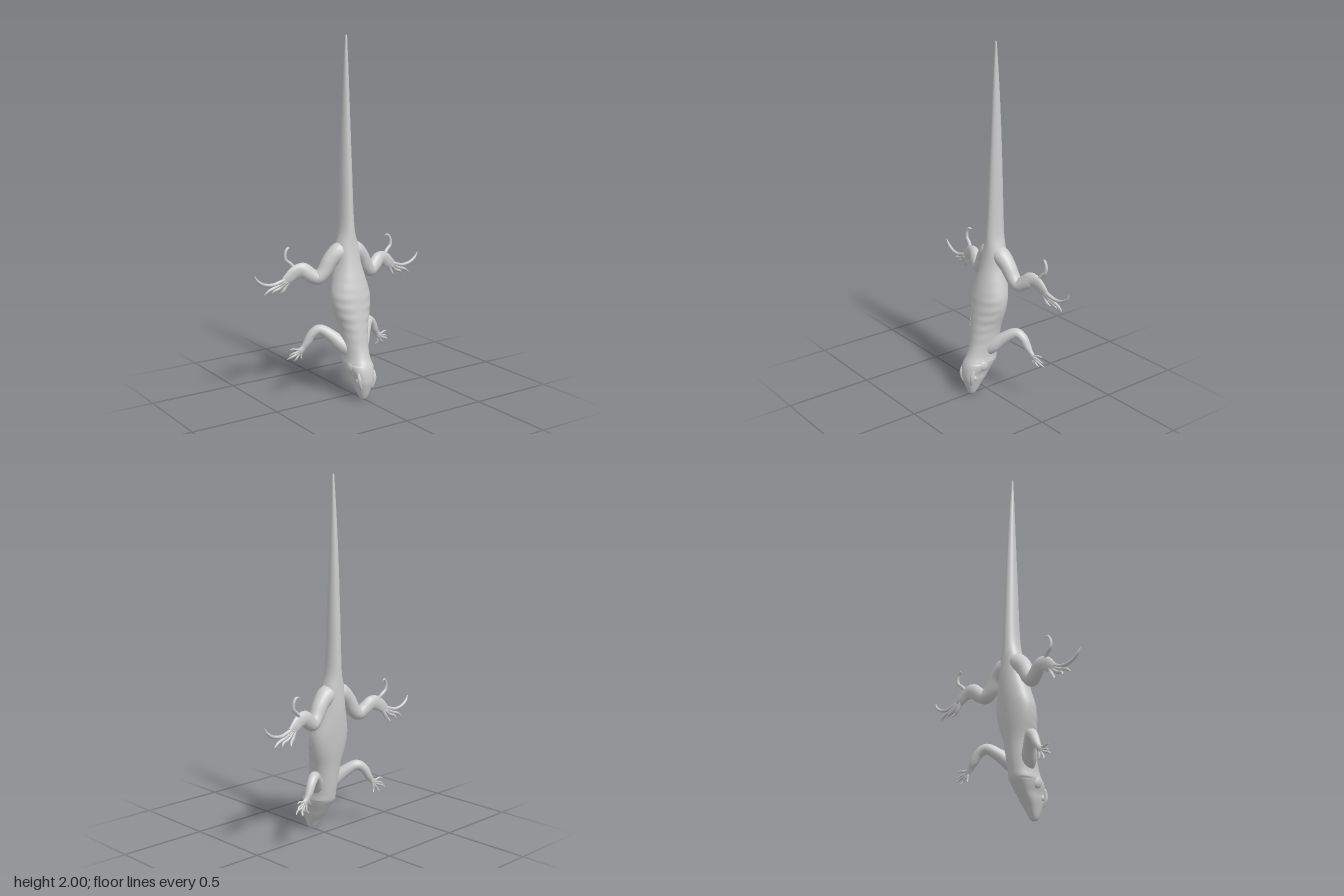
import * as THREE from 'three';

const material = new THREE.MeshStandardMaterial({ color: 0xcccccc });

// Smooth closed skin over rings; at(u, angle) returns a point, u runs 0..1
function skin(name, rings, sides, at) {
  const pos = [], index = [];
  for (let i = 0; i <= rings; i++) {
    for (let j = 0; j < sides; j++) {
      pos.push(...at(i / rings, (j / sides) * Math.PI * 2).toArray());
      if (i === rings) continue;
      const k = (j + 1) % sides, a = i * sides, b = a + sides;
      index.push(a + j, a + k, b + k, a + j, b + k, b + j);
    }
  }
  const geo = new THREE.BufferGeometry();
  geo.setAttribute('position', new THREE.Float32BufferAttribute(pos, 3));
  geo.setIndex(index);
  geo.computeVertexNormals();
  const mesh = new THREE.Mesh(geo, material);
  mesh.name = name;
  return mesh;
}

// One spline per column of a table, all sharing the same parameter
function columns(rows) {
  const curves = rows[0].map((_, c) =>
    new THREE.SplineCurve(rows.map((r, i) => new THREE.Vector2(i, r[c]))));
  return u => curves.map(c => c.getPoint(u).y);
}

// Tapered limb through rows of [x, y, z, radius, depth radius]
function limb(name, rows, side, sides = 16, steps = 8) {
  const sample = columns(rows.map(r => [r[0] * side, r[1], r[2], r[3], r[4] ?? r[3]]));
  const zAxis = new THREE.Vector3(0, 0, 1);
  const centre = u => new THREE.Vector3(...sample(u).slice(0, 3));
  const rings = (rows.length - 1) * steps;
  return skin(name, rings, sides, (u, a) => {
    const t = centre(Math.min(1, u + 0.01)).sub(centre(Math.max(0, u - 0.01))).normalize();
    const wide = t.clone().cross(zAxis).normalize();
    const deep = t.clone().cross(wide);
    const [, , , r, d] = sample(u);
    const tip = u === 0 || u === 1 ? 0 : 1;
    return centre(u)
      .addScaledVector(wide, Math.cos(a) * r * tip)
      .addScaledVector(deep, Math.sin(a) * d * tip);
  });
}

// Slim toe through [x, y, z] points, with joint swelling and a claw
function toe(name, pts, side, r) {
  const last = pts.length - 1;
  return limb(name, pts.map((p, i) =>
    [...p, i === last ? 0.0025 : r * (1 - 0.45 * i / last)]), side, 8, 6);
}

// Head, trunk and tail: [y, half width, back z (+), belly z (-), squareness]
const bodyRows = [
  [0, 0.002, 0.105, 0.095, 2], [0.004, 0.017, 0.117, 0.082, 2.2],
  [0.025, 0.028, 0.128, 0.067, 2.4], [0.06, 0.039, 0.14, 0.045, 2.6],
  [0.1, 0.05, 0.151, 0.015, 2.8], [0.135, 0.056, 0.152, -0.01, 2.8],
  [0.17, 0.068, 0.147, -0.035, 2.5], [0.2, 0.073, 0.137, -0.055, 2.3],
  [0.24, 0.069, 0.118, -0.064, 2.2], [0.3, 0.073, 0.1, -0.074, 2.1],
  [0.4, 0.084, 0.085, -0.087, 2.1], [0.5, 0.111, 0.07, -0.104, 2.1],
  [0.58, 0.118, 0.058, -0.114, 2.1], [0.66, 0.1, 0.04, -0.121, 2.1],
  [0.75, 0.076, 0.017, -0.124, 2.2], [0.84, 0.066, 0, -0.122, 2.2],
  [0.93, 0.044, -0.009, -0.12, 2], [1.05, 0.036, -0.018, -0.117, 2],
  [1.25, 0.031, -0.027, -0.111, 2], [1.5, 0.024, -0.039, -0.102, 2],
  [1.75, 0.016, -0.05, -0.089, 2], [1.93, 0.009, -0.059, -0.076, 2],
  [1.99, 0.006, -0.062, -0.071, 2], [2, 0.001, -0.066, -0.068, 2],
];

function body() {
  const sample = columns(bodyRows);
  return skin('body', 184, 48, (u, a) => {
    const [y, w, top, belly, n] = sample(u);
    const round = v => Math.sign(v) * Math.abs(v) ** (2 / n);
    const c = round(Math.cos(a)), s = round(Math.sin(a));
    // The widest line of the trunk lies nearer the belly
    const mid = THREE.MathUtils.lerp(belly, top, y < 0.2 ? 0.55 : 0.45);
    // Soft skin folds along the flanks
    const flank = Math.exp(-(((y - 0.47) / 0.14) ** 2)) * Math.abs(s) * Math.max(0, c);
    const fold = 1 + 0.035 * flank * Math.sin(y * 110 + 2 * c);
    return new THREE.Vector3(
      s * w * fold, y, mid + c * (c > 0 ? top - mid : mid - belly) * fold);
  });
}

function ball(name, x, y, z, sx, sy, sz) {
  const mesh = new THREE.Mesh(new THREE.SphereGeometry(1, 20, 14), material);
  mesh.name = name;
  mesh.position.set(x, y, z);
  mesh.scale.set(sx, sy, sz);
  return mesh;
}

// Toes as [x, y, z] paths from the sole to the claw
const frontToes = [
  [[0.258, 0.275, -0.124], [0.262, 0.245, -0.13], [0.262, 0.225, -0.132], [0.25, 0.21, -0.142]],
  [[0.265, 0.268, -0.124], [0.282, 0.24, -0.13], [0.295, 0.222, -0.132], [0.302, 0.208, -0.145]],
  [[0.27, 0.265, -0.124], [0.3, 0.247, -0.13], [0.328, 0.238, -0.132], [0.348, 0.225, -0.145]],
  [[0.27, 0.27, -0.124], [0.298, 0.26, -0.13], [0.318, 0.257, -0.132], [0.335, 0.243, -0.142]],
  [[0.262, 0.278, -0.124], [0.29, 0.277, -0.128], [0.312, 0.284, -0.13], [0.332, 0.28, -0.138]],
];
const hindToes = [
  [[0.335, 0.685, -0.125], [0.355, 0.645, -0.132], [0.372, 0.622, -0.135], [0.385, 0.607, -0.148]],
  [[0.35, 0.68, -0.125], [0.39, 0.645, -0.132], [0.425, 0.632, -0.134], [0.44, 0.612, -0.142]],
  [[0.36, 0.68, -0.125], [0.41, 0.655, -0.13], [0.46, 0.638, -0.132], [0.49, 0.615, -0.135]],
  [[0.36, 0.69, -0.125], [0.43, 0.668, -0.129], [0.49, 0.675, -0.13], [0.53, 0.7, -0.13], [0.55, 0.732, -0.128]],
  [[0.3, 0.74, -0.12], [0.325, 0.77, -0.13], [0.352, 0.795, -0.134], [0.354, 0.832, -0.136],
    [0.338, 0.857, -0.138], [0.32, 0.853, -0.145]],
];

function leg(name, rows, toes, side, toeRadius) {
  const group = new THREE.Group();
  group.name = name;
  group.add(limb('limb', rows, side));
  toes.forEach((pts, i) => group.add(toe('toe' + (i + 1), pts, side, toeRadius)));
  return group;
}

export function createModel() {
  const model = new THREE.Group();
  model.name = 'lizard';
  model.add(body());
  for (const side of [1, -1]) {
    const label = side > 0 ? 'Left' : 'Right';
    // Eye under a brow ridge, and the swollen jaw corner
    model.add(ball('eye' + label, side * 0.045, 0.115, 0.113, 0.013, 0.017, 0.014));
    model.add(limb('brow' + label, [
      [0.034, 0.07, 0.132, 0.006], [0.046, 0.1, 0.135, 0.01],
      [0.05, 0.13, 0.135, 0.011], [0.052, 0.165, 0.125, 0.006]], side, 12));
    model.add(ball('jaw' + label, side * 0.054, 0.185, 0.06, 0.023, 0.036, 0.035));
    // Front leg: shoulder, elbow arch, wrist and palm
    model.add(leg('frontLeg' + label, [
      [0.03, 0.26, 0.02, 0.035], [0.065, 0.295, -0.005, 0.04], [0.11, 0.345, -0.045, 0.034],
      [0.162, 0.382, -0.088, 0.029], [0.202, 0.36, -0.108, 0.026], [0.23, 0.315, -0.118, 0.022],
      [0.25, 0.286, -0.123, 0.017, 0.014], [0.268, 0.266, -0.125, 0.019, 0.01],
      [0.278, 0.255, -0.126, 0.012, 0.006]], frontToes, side, 0.0075));
    // Hind leg: hip, thigh, bent knee, shank and flat sole
    model.add(leg('hindLeg' + label, [
      [0.01, 0.83, -0.065, 0.045], [0.055, 0.815, -0.068, 0.052], [0.105, 0.77, -0.075, 0.045],
      [0.142, 0.71, -0.082, 0.041], [0.176, 0.68, -0.09, 0.038], [0.212, 0.698, -0.1, 0.04, 0.034],
      [0.255, 0.73, -0.112, 0.041, 0.028], [0.3, 0.723, -0.12, 0.039, 0.019],
      [0.34, 0.695, -0.125, 0.033, 0.014], [0.372, 0.675, -0.127, 0.022, 0.008]],
    hindToes, side, 0.0115));
  }
  return model;
}
